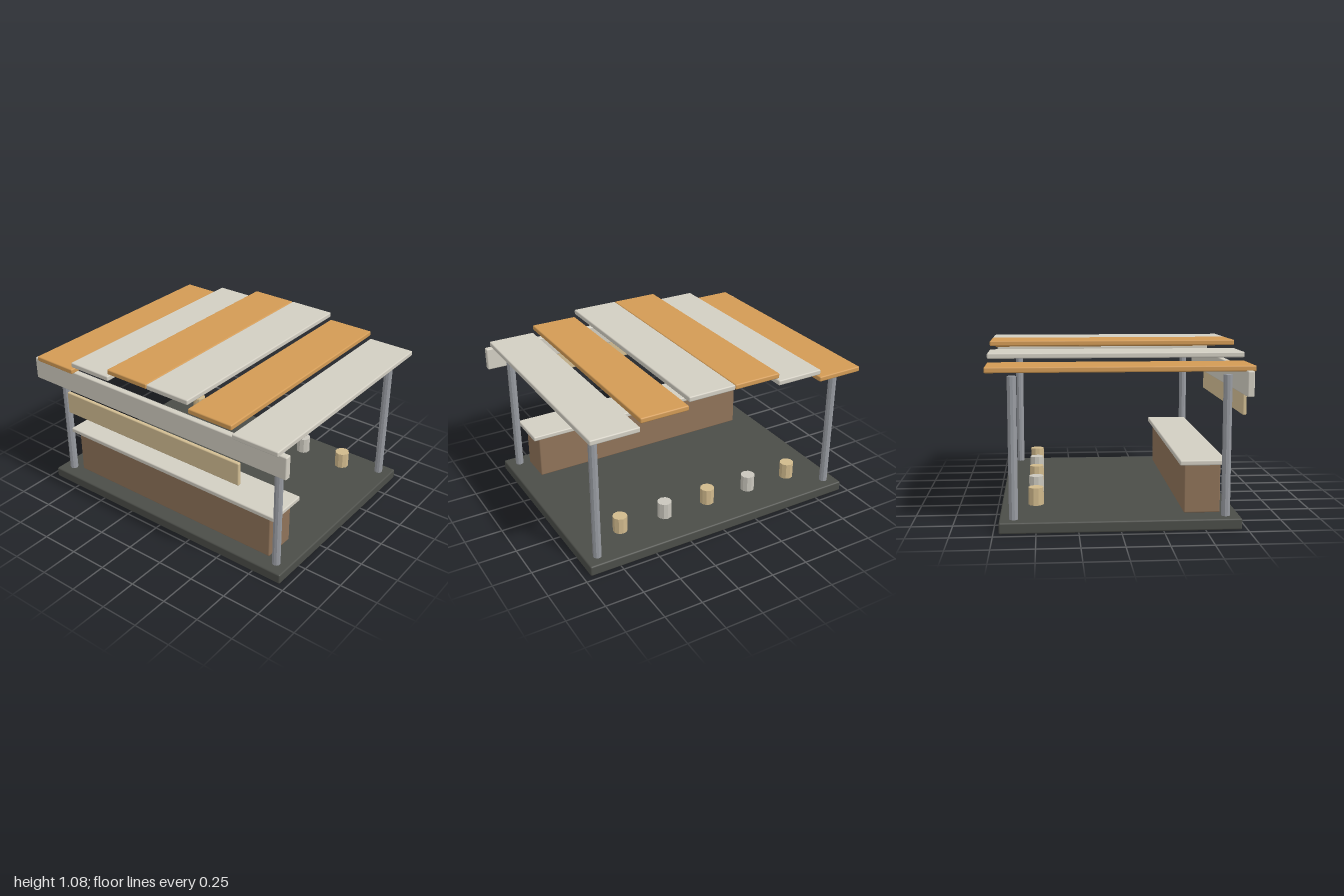
import * as THREE from 'three';
import { RoundedBoxGeometry } from 'three/addons/geometries/RoundedBoxGeometry.js';

function mat(name, color, flatShading = false) {
  const m = new THREE.MeshStandardMaterial({ color, flatShading });
  m.name = name;
  return m;
}

export function createModel() {
  const model = new THREE.Group();
  model.name = 'marketStall';

  const charcoal = mat('charcoal', 0x4b4d48);
  const brown = mat('brown', 0x8f7359);
  const paleGrey = mat('paleGrey', 0xd2cec2);
  const orange = mat('orange', 0xd39b55);
  const tan = mat('tan', 0xd4bf94);
  const steel = mat('steel', 0x989ba1, true);
  const stoolTan = mat('stoolTan', 0xd0b98c, true);
  const stoolGrey = mat('stoolGrey', 0xc9c6bc, true);

  // softly bevelled box given by its extents
  function box(name, material, [x0, x1], [y0, y1], [z0, z1], radius = 0.008) {
    const geo = new RoundedBoxGeometry(x1 - x0, y1 - y0, z1 - z0, 2, radius);
    const mesh = new THREE.Mesh(geo, material);
    mesh.name = name;
    mesh.position.set((x0 + x1) / 2, (y0 + y1) / 2, (z0 + z1) / 2);
    model.add(mesh);
  }

  // ten-sided upright cylinder
  function column(name, material, radius, x, y0, y1, z) {
    const mesh = new THREE.Mesh(new THREE.CylinderGeometry(radius, radius, y1 - y0, 10), material);
    mesh.name = name;
    mesh.position.set(x, (y0 + y1) / 2, z);
    model.add(mesh);
  }

  // floor and serving counter
  box('floor', charcoal, [-0.955, 0.955], [0, 0.068], [-0.717, 0.717], 0.01);
  box('counterBody', brown, [-0.802, 0.802], [0.068, 0.37], [0.39, 0.61]);
  box('counterTop', paleGrey, [-0.848, 0.848], [0.368, 0.4], [0.358, 0.642]);

  // corner posts
  for (const x of [-0.87, 0.87]) {
    for (const z of [-0.631, 0.631]) column('post', steel, 0.027, x, 0.068, 0.915, z);
  }

  // front beam and hanging sign board
  box('frontBeam', paleGrey, [-1, 1], [0.796, 0.946], [0.719, 0.761]);
  box('signBoard', tan, [-0.693, 0.693], [0.645, 0.797], [0.761, 0.786]);

  // stepped roof of alternating planks, rising to the middle
  const plankY = [0.94, 0.993, 1.045];
  for (let i = 0; i < 6; i++) {
    const x = (i - 2.5) * 0.3185;
    const y = plankY[Math.min(i, 5 - i)];
    box('roofPlank', i % 2 ? paleGrey : orange, [x - 0.159, x + 0.159], [y, y + 0.034], [-0.784, 0.78]);
  }

  // row of stools along the back
  for (let i = -2; i <= 2; i++) {
    column('stool', i % 2 ? stoolGrey : stoolTan, 0.047, i * 0.322, 0.1, 0.208, -0.5);
  }

  return model;
}
